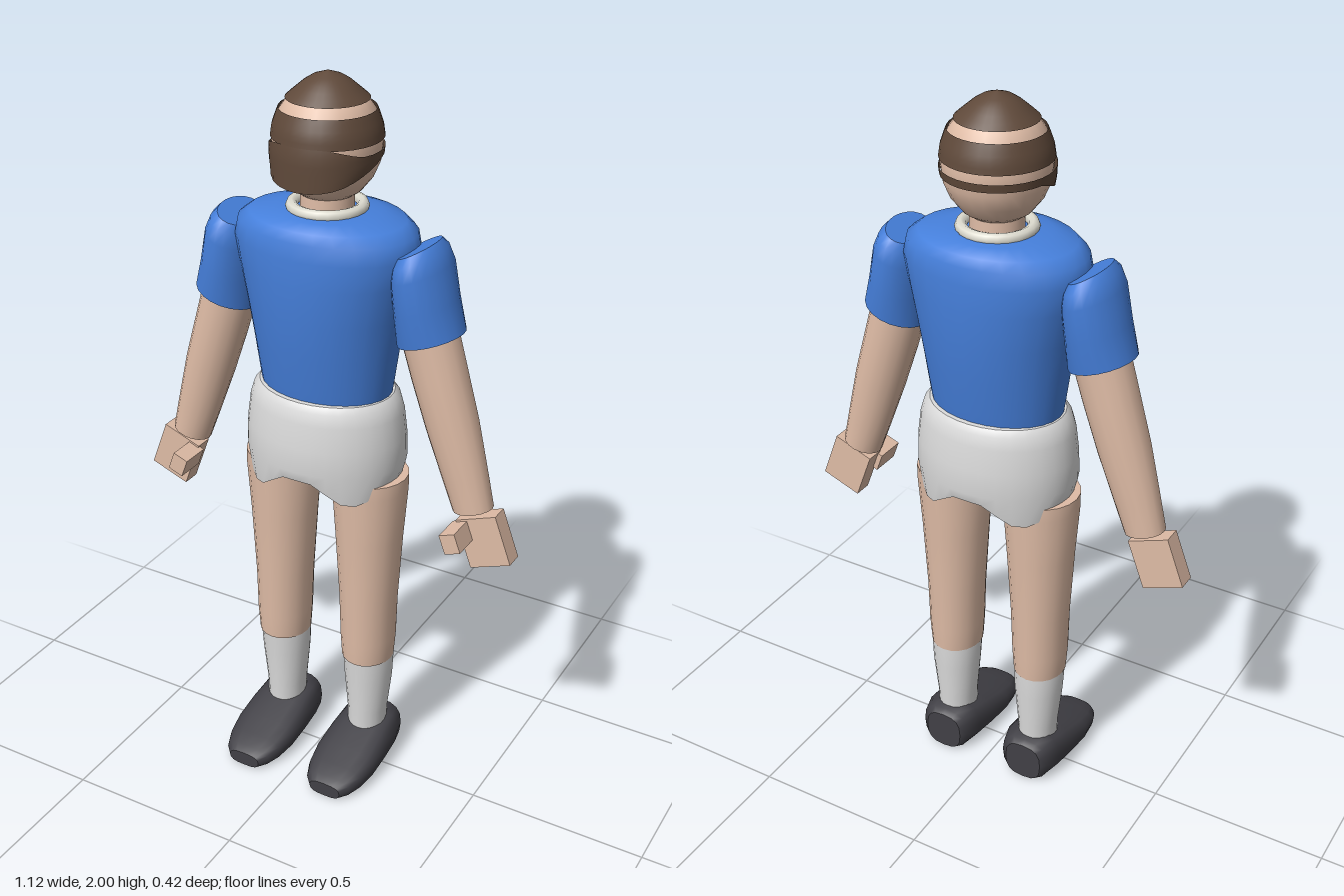
import * as THREE from 'three';

const material = (name, color) => {
  const m = new THREE.MeshStandardMaterial({ color });
  m.name = name;
  return m;
};

const CZ = -0.035; // depth of the body's centre line

// Skins rings [y, rx, rz, cx, cz, slope] from bottom to top and caps both ends.
// power < 1 makes the section boxier; edge(x, y, ring) may shift a vertex in y.
function loft(rings, { sides = 20, power = 1, edge = null } = {}) {
  const pos = [], idx = [];
  const round = (v) => Math.sign(v) * Math.pow(Math.abs(v), power);
  const addRing = ([y, rx, rz, cx = 0, cz = CZ, slope = 0], i) => {
    const start = pos.length / 3;
    for (let j = 0; j < sides; j++) {
      const a = (j / sides) * Math.PI * 2;
      const dx = rx * round(Math.sin(a));
      const py = y + slope * dx;
      pos.push(cx + dx, edge ? edge(cx + dx, py, i) : py, cz + rz * round(Math.cos(a)));
    }
    return start;
  };
  rings.forEach((r, i) => {
    const b = addRing(r, i);
    if (i === 0) return;
    for (let j = 0; j < sides; j++) {
      const k = (j + 1) % sides, a = b - sides;
      idx.push(a + j, a + k, b + k, a + j, b + k, b + j);
    }
  });
  [0, rings.length - 1].forEach((i) => {
    const s = addRing(rings[i], i), c = pos.length / 3;
    const [y, , , cx = 0, cz = CZ] = rings[i];
    pos.push(cx, y, cz);
    for (let j = 0; j < sides; j++) {
      const k = (j + 1) % sides;
      if (i === 0) idx.push(c, s + k, s + j);
      else idx.push(c, s + j, s + k);
    }
  });
  const g = new THREE.BufferGeometry();
  g.setAttribute('position', new THREE.Float32BufferAttribute(pos, 3));
  g.setIndex(idx);
  g.computeVertexNormals();
  return g;
}

// Head outline as [radius, y], shared by skin and hair
const HEAD = [[0.06, 1.69], [0.09, 1.71], [0.118, 1.745], [0.135, 1.785], [0.14, 1.83],
  [0.134, 1.87], [0.12, 1.91], [0.1, 1.937], [0.055, 1.975], [0.022, 1.995], [0, 2.0]];
function headRadius(y) {
  for (let i = 1; i < HEAD.length; i++) {
    const [r0, y0] = HEAD[i - 1], [r1, y1] = HEAD[i];
    if (y <= y1) return r0 + ((r1 - r0) * Math.max(0, y - y0)) / (y1 - y0);
  }
  return 0;
}

// Band of hair around the head; bottom and top heights depend on the angle from the front
function hairBand(bottom, top, radius) {
  const sides = 32, rows = 5, pos = [], idx = [];
  for (let i = 0; i <= rows; i++) {
    for (let j = 0; j < sides; j++) {
      const a = (j / sides) * Math.PI * 2, off = Math.min(a, Math.PI * 2 - a);
      const y = THREE.MathUtils.lerp(bottom(off), top(off), i / rows), r = radius(y, off);
      pos.push(r * Math.sin(a), y, CZ + r * Math.cos(a));
      if (i === 0) continue;
      const k = (j + 1) % sides, b = i * sides, c = b - sides;
      idx.push(c + j, c + k, b + k, c + j, b + k, b + j);
    }
  }
  const g = new THREE.BufferGeometry();
  g.setAttribute('position', new THREE.Float32BufferAttribute(pos, 3));
  g.setIndex(idx);
  g.computeVertexNormals();
  return g;
}

export function createModel() {
  const skin = material('skin', 0xdfbca6);
  const hair = material('hair', 0x5f493a);
  hair.side = THREE.DoubleSide;
  const blue = material('blue shirt', 0x4680dc);
  const white = material('white cloth', 0xdcdcdc);
  const cream = material('cream collar', 0xdedcd0);
  const dark = material('dark shoe', 0x414046);

  const model = new THREE.Group();
  model.name = 'standingFigure';
  const add = (name, geometry, mat, parent = model) => {
    const mesh = new THREE.Mesh(geometry, mat);
    mesh.name = name;
    parent.add(mesh);
    return mesh;
  };

  // Head, neck and hair
  const head = new THREE.Group();
  head.name = 'head';
  model.add(head);
  const outline = HEAD.map(([r, y]) => new THREE.Vector2(Math.max(0, r - 0.002), y - 0.002));
  add('face', new THREE.LatheGeometry([new THREE.Vector2(0, 1.685), ...outline], 24), skin, head)
    .position.z = CZ;
  add('neck', loft([[1.63, 0.07, 0.07], [1.72, 0.068, 0.068]]), skin, head);
  const snug = (y) => headRadius(y) + 0.003;
  add('hairCrown', hairBand(() => 1.935, () => 2.0, (y) => headRadius(y) + (y < 1.99 ? 0.003 : 0)),
    hair, head);
  add('hairUpper', hairBand(() => 1.842, () => 1.912, snug), hair, head);
  // Fringe hangs straight down at the front and narrows to a strip at the back
  const { smoothstep, lerp } = THREE.MathUtils;
  add('hairFringe', hairBand(
    (a) => (a < 1.7 ? 1.735 + 0.055 * (1 - Math.cos(a)) : 1.799),
    (a) => lerp(1.845, 1.82, smoothstep(a, 0.4, 1.3)),
    (y, a) => lerp(Math.max(snug(y), 0.148 - Math.max(0, y - 1.82) * 0.2), snug(y), smoothstep(a, 0.5, 1.6)),
  ), hair, head);

  // Shirt body and collar
  add('shirt', loft([
    [1.15, 0.18, 0.13], [1.2, 0.187, 0.14], [1.3, 0.2, 0.156], [1.4, 0.216, 0.17],
    [1.5, 0.238, 0.176], [1.57, 0.253, 0.176], [1.615, 0.243, 0.172], [1.64, 0.21, 0.16],
    [1.655, 0.14, 0.125], [1.658, 0.09, 0.09],
  ], { sides: 28 }), blue);
  const collar = add('collar', new THREE.TorusGeometry(0.09, 0.016, 8, 24), cream);
  collar.rotation.x = Math.PI / 2;
  collar.position.set(0, 1.662, CZ);

  // Shorts with an uneven hem that dips over each thigh
  const hem = (x, y, i) => {
    if (i > 0) return y;
    const t = Math.abs(x);
    return t < 0.14 ? lerp(0.95, 0.89, smoothstep(t, 0.03, 0.14)) : lerp(0.89, 0.94, smoothstep(t, 0.16, 0.22));
  };
  add('shorts', loft([
    [0.95, 0.215, 0.165], [0.98, 0.226, 0.176], [1.05, 0.224, 0.174], [1.12, 0.215, 0.167],
    [1.155, 0.204, 0.16], [1.172, 0.188, 0.148],
  ], { sides: 32, edge: hem }), white);

  for (const s of [1, -1]) {
    const side = s > 0 ? 'left' : 'right';

    // Leg, sock and shoe
    const leg = new THREE.Group();
    leg.name = side + 'Leg';
    model.add(leg);
    add(side + 'BareLeg', loft([
      [0.35, 0.072, 0.08, 0.136 * s], [0.42, 0.077, 0.084, 0.136 * s], [0.55, 0.081, 0.086, 0.135 * s],
      [0.75, 0.093, 0.095, 0.134 * s], [0.9, 0.104, 0.104, 0.134 * s], [0.94, 0.104, 0.104, 0.134 * s],
    ]), skin, leg);
    add(side + 'Sock', loft([
      [0.08, 0.054, 0.06, 0.135 * s, -0.04], [0.16, 0.056, 0.062, 0.135 * s, -0.04],
      [0.28, 0.068, 0.071, 0.136 * s, -0.04], [0.352, 0.0715, 0.075, 0.136 * s, -0.038],
    ]), white, leg);
    // Shoe sections run from heel to toe: [z, half width, height]
    const shoe = loft([
      [-0.128, 0.056, 0.115], [-0.115, 0.073, 0.128], [-0.065, 0.086, 0.137], [0.01, 0.092, 0.115],
      [0.09, 0.094, 0.088], [0.15, 0.085, 0.068], [0.19, 0.069, 0.054], [0.212, 0.048, 0.042],
    ].map(([z, w, h]) => [z, w, h / 2, 0.134 * s, -h / 2]), { sides: 16, power: 0.72 });
    add(side + 'Shoe', shoe.rotateX(Math.PI / 2), dark, leg);

    // Sleeve, arm and hand
    const arm = new THREE.Group();
    arm.name = side + 'Arm';
    model.add(arm);
    add(side + 'Sleeve', loft([
      [1.367, 0.086, 0.09, 0.3 * s, CZ, 0.32 * s], [1.45, 0.077, 0.102, 0.284 * s, CZ, 0.32 * s],
      [1.54, 0.07, 0.109, 0.27 * s, CZ, 0.35 * s], [1.577, 0.058, 0.103, 0.264 * s, CZ, 0.42 * s],
      [1.598, 0.044, 0.083, 0.26 * s, CZ, 0.5 * s],
    ]), blue, arm);
    add(side + 'BareArm', loft([
      [0.912, 0.054, 0.047, 0.437 * s, CZ, 0.25 * -s * -1], [1.0, 0.06, 0.052, 0.41 * s, CZ, 0.28 * s],
      [1.14, 0.068, 0.064, 0.367 * s, CZ, 0.3 * s], [1.27, 0.071, 0.069, 0.326 * s, CZ, 0.3 * s],
      [1.4, 0.072, 0.074, 0.287 * s, CZ, 0.3 * s],
    ], { sides: 16 }), skin, arm);
    const hand = new THREE.Group();
    hand.name = side + 'Hand';
    hand.position.set(0.481 * s, 0.834, -0.033);
    hand.rotation.z = 0.36 * s;
    arm.add(hand);
    add(side + 'Palm', new THREE.BoxGeometry(0.118, 0.14, 0.052), skin, hand);
    const thumb = add(side + 'Thumb', new THREE.BoxGeometry(0.046, 0.055, 0.085), skin, hand);
    thumb.position.set(-0.05 * s, 0.037, 0.06);
  }
  return model;
}
